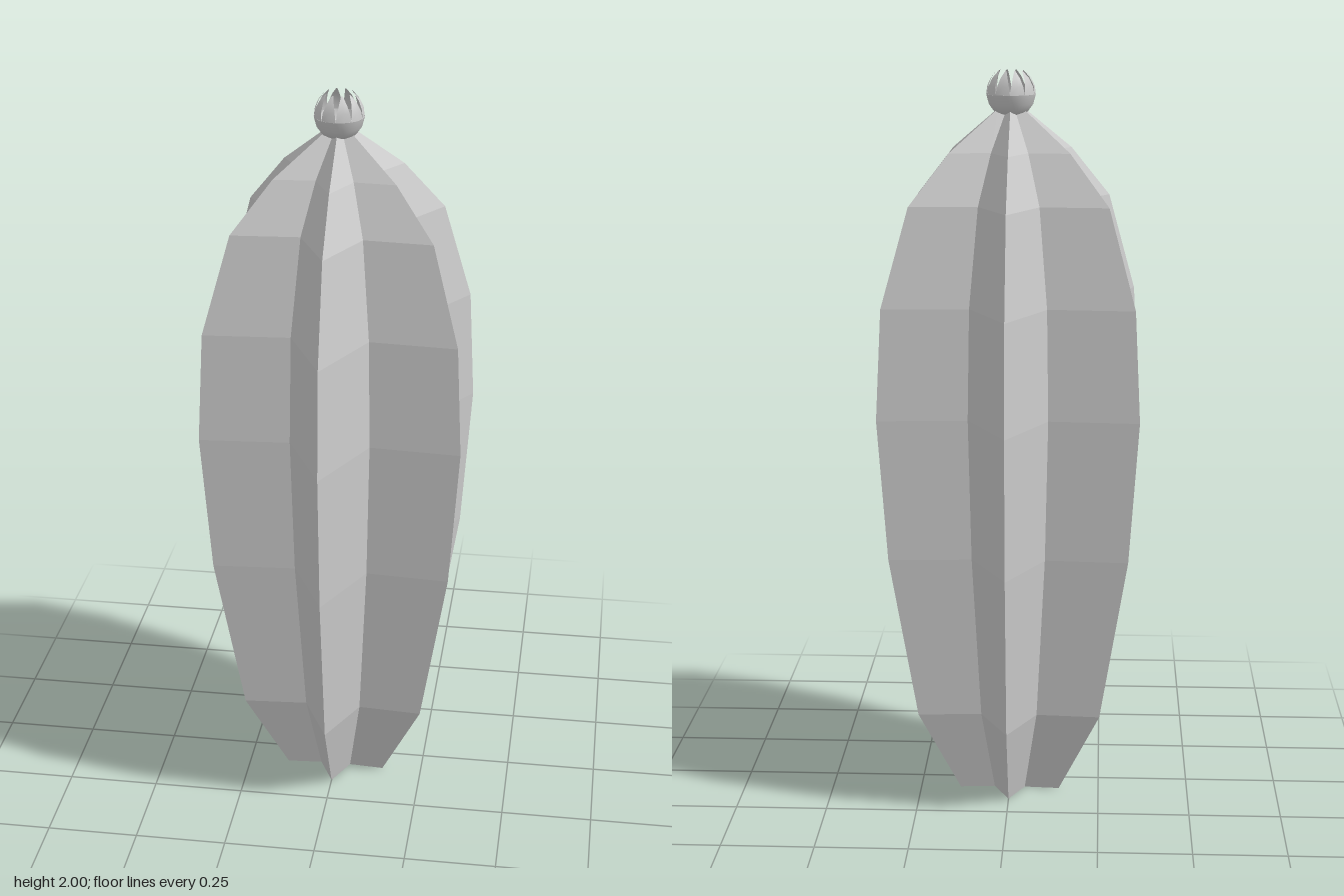
import * as THREE from 'three';

const flat = new THREE.MeshStandardMaterial({ color: 0xcccccc, flatShading: true });
const smooth = new THREE.MeshStandardMaterial({ color: 0xcccccc, side: THREE.DoubleSide });

function makeMesh(name, geometry, material) {
  const mesh = new THREE.Mesh(geometry, material);
  mesh.name = name;
  return mesh;
}

function indexed(points, faces) {
  const g = new THREE.BufferGeometry();
  g.setAttribute('position', new THREE.Float32BufferAttribute(points, 3));
  g.setIndex(faces);
  g.computeVertexNormals();
  return g;
}

// Ribbed stem: six-pointed star sections, [height, rib radius]
function stemGeometry() {
  const profile = [[0, 0.16], [0.24, 0.29], [0.7, 0.375], [1.09, 0.405],
    [1.39, 0.388], [1.655, 0.305], [1.79, 0.185], [1.9, 0.04]];
  const n = 12, points = [], faces = [];
  for (const [y, r] of profile) {
    for (let i = 0; i < n; i++) {
      const a = i * Math.PI / 6;
      const rad = i % 2 ? r : r * 0.53;
      points.push(rad * Math.cos(a), y, rad * Math.sin(a));
    }
  }
  const last = profile.length - 1;
  const bottom = points.length / 3, top = bottom + 1;
  points.push(0, 0, 0, 0, profile[last][0], 0);
  for (let i = 0; i < n; i++) {
    const k = (i + 1) % n;
    for (let j = 0; j < last; j++) {
      const a = j * n + i, b = j * n + k, c = a + n, d = b + n;
      faces.push(a, c, d, a, d, b);
    }
    faces.push(bottom, i, k, top, last * n + k, last * n + i);
  }
  return indexed(points, faces);
}

// One curved petal, narrowing to a tip that leans inward
function petalGeometry(width) {
  const rows = [[1.938, 0.066, 1], [1.96, 0.063, 0.85], [1.982, 0.053, 0.6], [2, 0.038, 0.15]];
  const points = [], faces = [];
  rows.forEach(([y, r, w], j) => {
    for (const s of [-1, 0, 1]) {
      const a = s * w * width / 2;
      points.push(r * Math.sin(a), y, r * Math.cos(a));
    }
    if (j) for (const i of [0, 1]) {
      const a = (j - 1) * 3 + i, c = a + 3;
      faces.push(a, a + 1, c + 1, a, c + 1, c);
    }
  });
  return indexed(points, faces);
}

export function createModel() {
  const model = new THREE.Group();
  model.add(makeMesh('ribbedStem', stemGeometry(), flat));

  // Flower: round cup, inner disc and a ring of petals
  const flower = new THREE.Group();
  flower.name = 'flower';
  const cup = [[0, 1.878], [0.025, 1.882], [0.045, 1.893], [0.059, 1.912], [0.066, 1.938]]
    .map(([x, y]) => new THREE.Vector2(x, y));
  flower.add(makeMesh('flowerCup', new THREE.LatheGeometry(cup, 40), smooth));

  const disc = makeMesh('flowerCentre', new THREE.CircleGeometry(0.058, 20), smooth);
  disc.rotation.x = -Math.PI / 2;
  disc.position.y = 1.912;
  flower.add(disc);

  const count = 10, step = Math.PI * 2 / count;
  const petal = petalGeometry(step);
  for (let i = 0; i < count; i++) {
    const mesh = makeMesh('petal', petal, smooth);
    mesh.rotation.y = (i + 0.5) * step;
    flower.add(mesh);
  }
  model.add(flower);
  return model;
}
